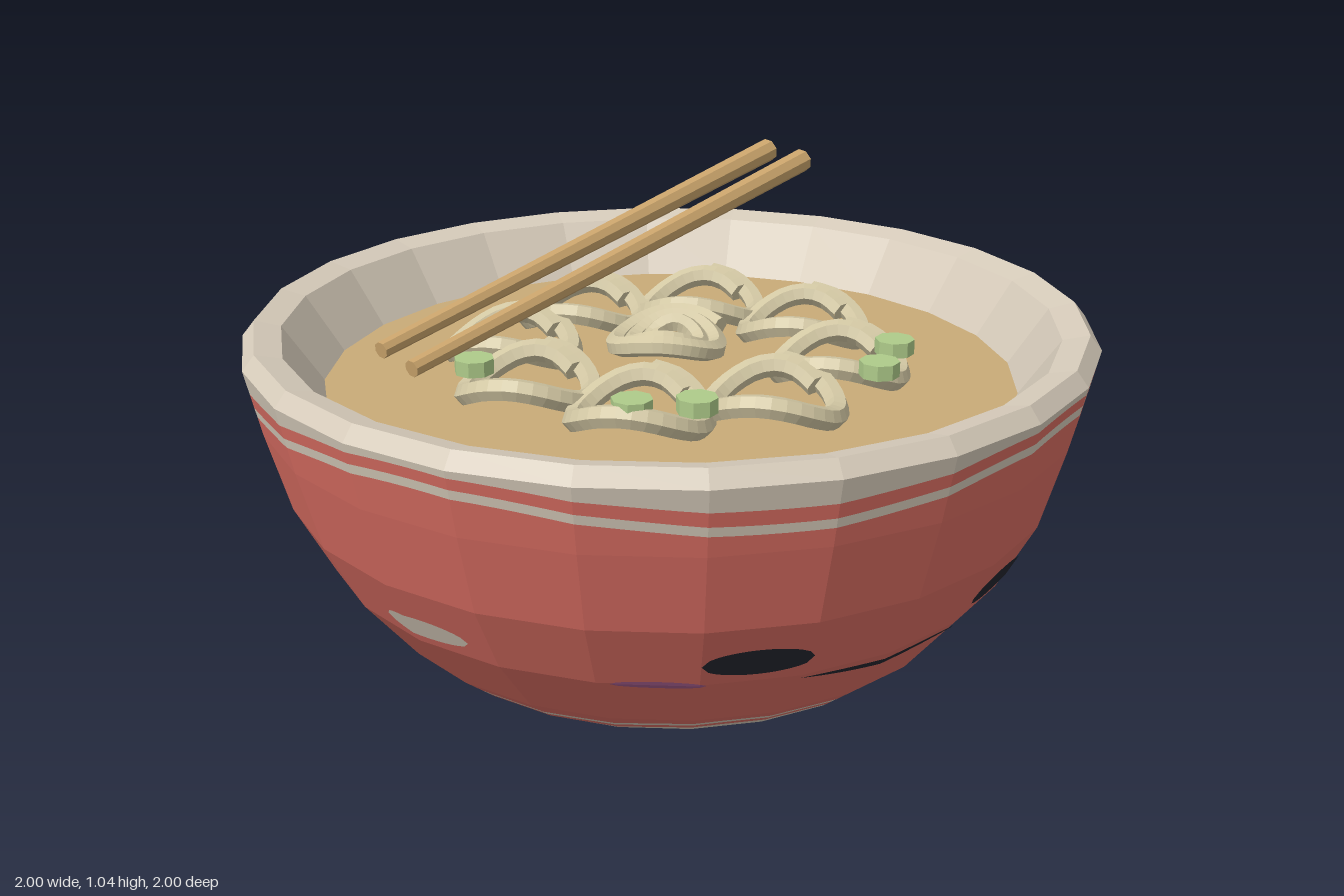
import * as THREE from 'three';

const mat = (name, color, side = THREE.FrontSide) => {
  const m = new THREE.MeshStandardMaterial({ color, flatShading: true, side });
  m.name = name;
  return m;
};

// Outer bowl profile: [height, radius], low to high
const PROFILE = [[0, 0.53], [0.04, 0.615], [0.11, 0.7], [0.265, 0.825], [0.43, 0.912], [0.62, 0.965], [0.775, 1]];
const SIDES = 24, SEG = 360 / SIDES;
const rad = THREE.MathUtils.degToRad;

function radiusAt(y) {
  let i = 1;
  while (i < PROFILE.length - 1 && y > PROFILE[i][0]) i++;
  const [y0, r0] = PROFILE[i - 1], [y1, r1] = PROFILE[i];
  return r0 + (r1 - r0) * (y - y0) / (y1 - y0);
}

// Point on the faceted bowl wall; degrees are measured from the front towards +x
function wallPoint(deg, y, lift) {
  const off = ((deg % SEG) + SEG) % SEG - SEG / 2;
  const r = radiusAt(y) * Math.cos(rad(SEG / 2)) / Math.cos(rad(off)) + lift;
  return [r * Math.sin(rad(deg)), y, r * Math.cos(rad(deg))];
}

// Patch of bowl wall between two height curves
function wallPatch(from, to, step, lo, hi, lift = 0) {
  const pos = [];
  const rows = (d) => {
    const a = lo(d), b = hi(d);
    return [a, ...PROFILE.map((p) => THREE.MathUtils.clamp(p[0], a, b)), b];
  };
  for (let d = from; d < to; d += step) {
    const e = Math.min(d + step, to), L = rows(d), R = rows(e);
    for (let k = 0; k < L.length - 1; k++) {
      const a = wallPoint(d, L[k], lift), b = wallPoint(e, R[k], lift);
      const c = wallPoint(e, R[k + 1], lift), f = wallPoint(d, L[k + 1], lift);
      if (R[k + 1] - R[k] > 1e-6) pos.push(...a, ...b, ...c);
      if (L[k + 1] - L[k] > 1e-6) pos.push(...a, ...c, ...f);
    }
  }
  const g = new THREE.BufferGeometry();
  g.setAttribute('position', new THREE.Float32BufferAttribute(pos, 3));
  g.computeVertexNormals();
  return g;
}

export function createModel() {
  const root = new THREE.Group();
  root.name = 'noodleBowl';
  const red = mat('bowlRed', 0xd96d62);
  const cream = mat('cream', 0xd6cbba);
  const dark = mat('faceDark', 0x23262f);
  const blush = mat('blushPurple', 0xa05a88);
  const broth = mat('broth', 0xc9ab78);
  const noodleMat = mat('noodle', 0xd3c8a4);
  const wood = mat('wood', 0xcba56c);
  const green = mat('springOnion', 0xaecb8a);

  const add = (name, geometry, material, parent = root) => {
    const m = new THREE.Mesh(geometry, material);
    m.name = name;
    parent.add(m);
    return m;
  };

  // Bowl wall in stacked bands with wavy borders
  const wave = (base, amp) => (d) => base + amp * Math.cos(rad(4 * (d - 25)));
  const borders = [
    () => 0, wave(0.046, -0.01), wave(0.062, -0.01), wave(0.075, -0.01),
    wave(0.687, 0.024), wave(0.709, 0.024), wave(0.739, 0.02), () => 0.775,
  ];
  const bands = ['foot', 'lowerRedLine', 'lowerCreamLine', 'wall', 'upperCreamLine', 'upperRedLine', 'lip'];
  bands.forEach((name, i) =>
    add(name, wallPatch(0, 360, 3, borders[i], borders[i + 1]), i % 2 ? red : cream));

  // Rolled rim and inside wall
  const rim = [[1, 0.775], [0.972, 0.81], [0.91, 0.795], [0.815, 0.655]].map((p) => new THREE.Vector2(...p));
  add('rim', new THREE.LatheGeometry(rim, SIDES), cream);

  // Underside
  add('base', new THREE.CircleGeometry(0.515, SIDES).rotateX(Math.PI / 2), cream);
  add('baseEdge', new THREE.RingGeometry(0.515, 0.53, SIDES).rotateX(Math.PI / 2), red);

  // Painted face and spots
  const oval = (name, deg, y, halfDeg, halfH, material) => {
    const h = (d) => halfH * Math.sqrt(Math.max(0, 1 - ((d - deg) / halfDeg) ** 2));
    add(name, wallPatch(deg - halfDeg, deg + halfDeg, 1, (d) => y - h(d), (d) => y + h(d), 0.004), material);
  };
  oval('rightEye', -22, 0.326, 8, 0.038, dark);
  oval('leftEye', 24, 0.326, 8, 0.038, dark);
  oval('rightCheek', -36, 0.265, 7, 0.011, blush);
  oval('leftCheek', 38, 0.265, 7, 0.011, blush);
  for (const deg of [72, 110, 155, 201, 246, 288]) oval('spot', deg, 0.317, 8, 0.028, cream);
  const bend = (d) => 1 - ((d - 1) / 16) ** 2;
  add('mouth', wallPatch(-15, 17, 1, (d) => 0.258 - 0.03 * bend(d), (d) => 0.258 - 0.011 * bend(d), 0.004), dark);

  // Broth
  add('broth', new THREE.CircleGeometry(0.82, SIDES).rotateX(-Math.PI / 2).translate(0, 0.66, 0), broth);

  // Noodles: loose loops around a rising spiral
  const noodle = (name, cx, cz, y, r0, r1, turns, amp, radius) => {
    const pts = [];
    const n = Math.round(turns * 16);
    for (let i = 0; i <= n; i++) {
      const t = i / n, a = t * turns * Math.PI * 2, r = r0 + (r1 - r0) * t;
      pts.push(new THREE.Vector3(cx + r * Math.cos(a), y + amp * Math.sin(2 * a), cz - r * Math.sin(a)));
    }
    const curve = new THREE.CatmullRomCurve3(pts);
    const g = new THREE.Group();
    g.name = name;
    root.add(g);
    add('strand', new THREE.TubeGeometry(curve, n * 2, radius, 6), noodleMat, g);
    for (const [t, s] of [[0, -1], [1, 1]]) {
      const cap = add('strandEnd', new THREE.CircleGeometry(radius, 6), noodleMat, g);
      cap.position.copy(curve.getPoint(t));
      cap.lookAt(cap.position.clone().addScaledVector(curve.getTangent(t), s));
    }
  };
  for (let i = 0; i < 8; i++) {
    const a = i * Math.PI / 4;
    noodle('noodleLoop', 0.395 * Math.cos(a), 0.395 * Math.sin(a), 0.715, 0.128, 0.155, 1.12, 0.03, 0.027);
  }
  noodle('noodleSpiral', 0, 0, 0.745, 0.145, 0.045, 2.6, 0.018, 0.025);

  // Spring onion slices
  for (const [x, z] of [[-0.35, 0.37], [-0.23, 0.44], [0.24, 0.48], [0.37, 0.38], [-0.5, -0.05]]) {
    add('springOnion', new THREE.CylinderGeometry(0.046, 0.046, 0.035, 8), green).position.set(x, 0.76, z);
  }

  // Chopsticks, thicker at the raised end
  for (const z of [-0.15, 0]) {
    const a = new THREE.Vector3(-0.68, 0.8, z), b = new THREE.Vector3(0.68, 1.012, z - 0.375);
    const dir = b.clone().sub(a);
    const stick = add('chopstick', new THREE.CylinderGeometry(0.031, 0.02, dir.length(), 8), wood);
    stick.position.copy(a).add(b).multiplyScalar(0.5);
    stick.quaternion.setFromUnitVectors(new THREE.Vector3(0, 1, 0), dir.normalize());
  }
  return root;
}
